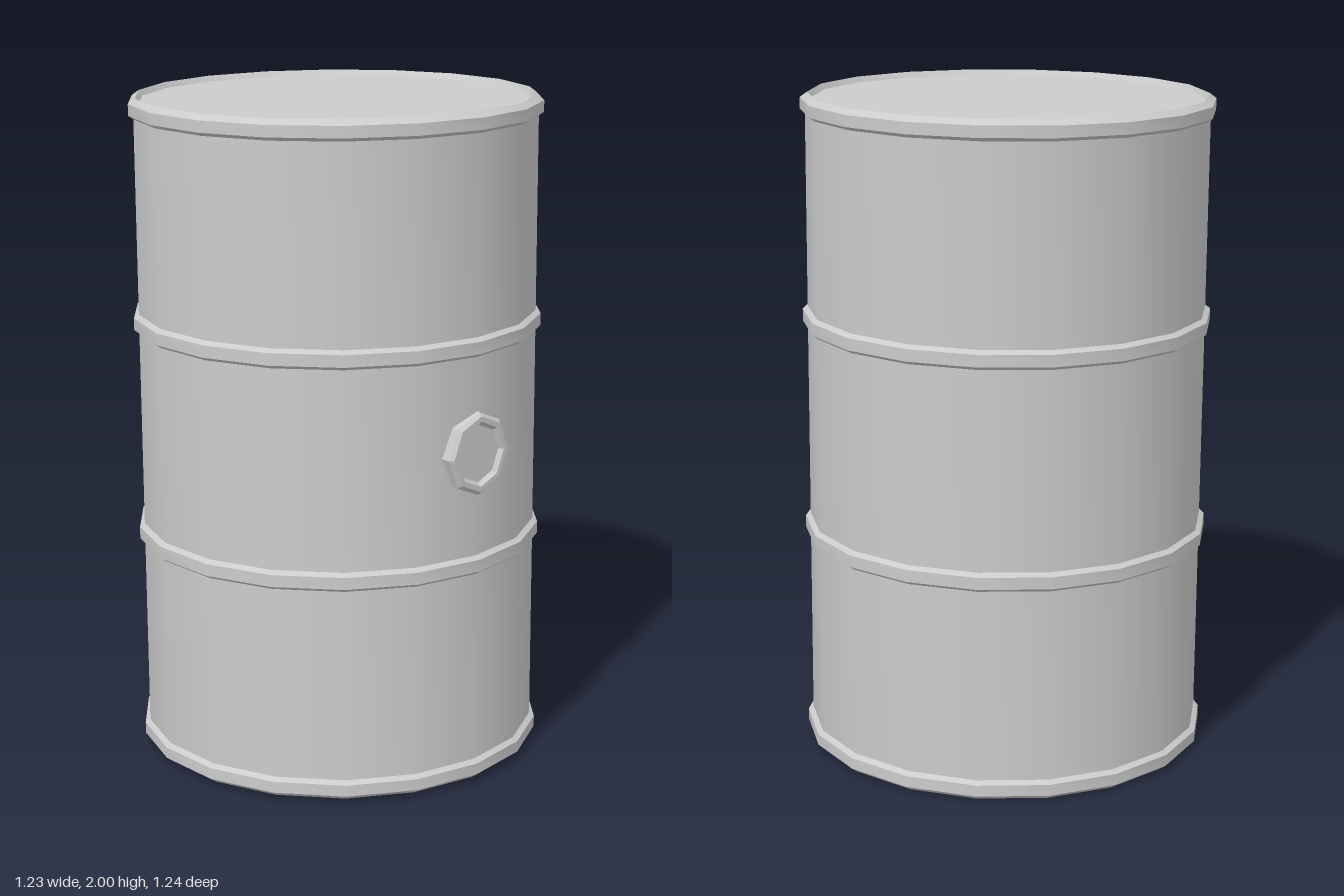
import * as THREE from 'three';
import { toCreasedNormals } from 'three/addons/utils/BufferGeometryUtils.js';

const SIDES = 18;
const STEP = Math.PI / 9;
const material = new THREE.MeshStandardMaterial({ color: 0xcccccc });

// Turns a [radius, height] profile (listed bottom to top) with crisp profile edges
function turned(name, profile, sides, phiStart) {
  const points = profile.map(([r, y]) => new THREE.Vector2(r, y));
  const geometry = toCreasedNormals(new THREE.LatheGeometry(points, sides, phiStart), 0.42);
  const mesh = new THREE.Mesh(geometry, material);
  mesh.name = name;
  return mesh;
}

export function createModel() {
  const group = new THREE.Group();
  group.name = 'drum';

  // The drum leans back very slightly, so it is built around its own centre
  const drum = new THREE.Group();
  drum.name = 'leaningDrum';
  drum.position.y = 1;
  drum.rotation.x = -0.011;
  group.add(drum);

  // Side wall
  drum.add(turned('wall', [[0.6, -0.95], [0.6, 0.95]], SIDES, STEP / 2));

  // Two hoops around the wall
  for (const y of [-0.325, 0.325]) {
    const hoop = turned('hoop', [
      [0.598, -0.03], [0.615, -0.018], [0.615, 0.018], [0.598, 0.03],
    ], SIDES, STEP / 2);
    hoop.position.y = y;
    drum.add(hoop);
  }

  // Rolled rims with recessed end plates, mirrored top and bottom
  const rim = [
    [0.598, 0.932], [0.615, 0.944], [0.615, 0.978], [0.594, 0.9935], [0.583, 0.977], [0, 0.977],
  ];
  drum.add(turned('topRimAndLid', rim, SIDES, STEP / 2));
  drum.add(turned('bottomRimAndBase', rim.map(([r, y]) => [r, -y]).reverse(), SIDES, STEP / 2));

  // Octagonal filler cap on the front, facing out along a wall corner
  const bung = new THREE.Group();
  bung.name = 'fillerCap';
  bung.rotation.y = STEP / 2;
  const cap = turned('fillerRing', [
    [0.124, 0.565], [0.124, 0.608], [0.113, 0.619], [0.097, 0.619], [0.086, 0.606], [0, 0.606],
  ], 8, 0);
  cap.rotation.x = Math.PI / 2;
  cap.scale.x = 0.95;
  cap.position.y = 0.012;
  bung.add(cap);
  drum.add(bung);

  return group;
}
